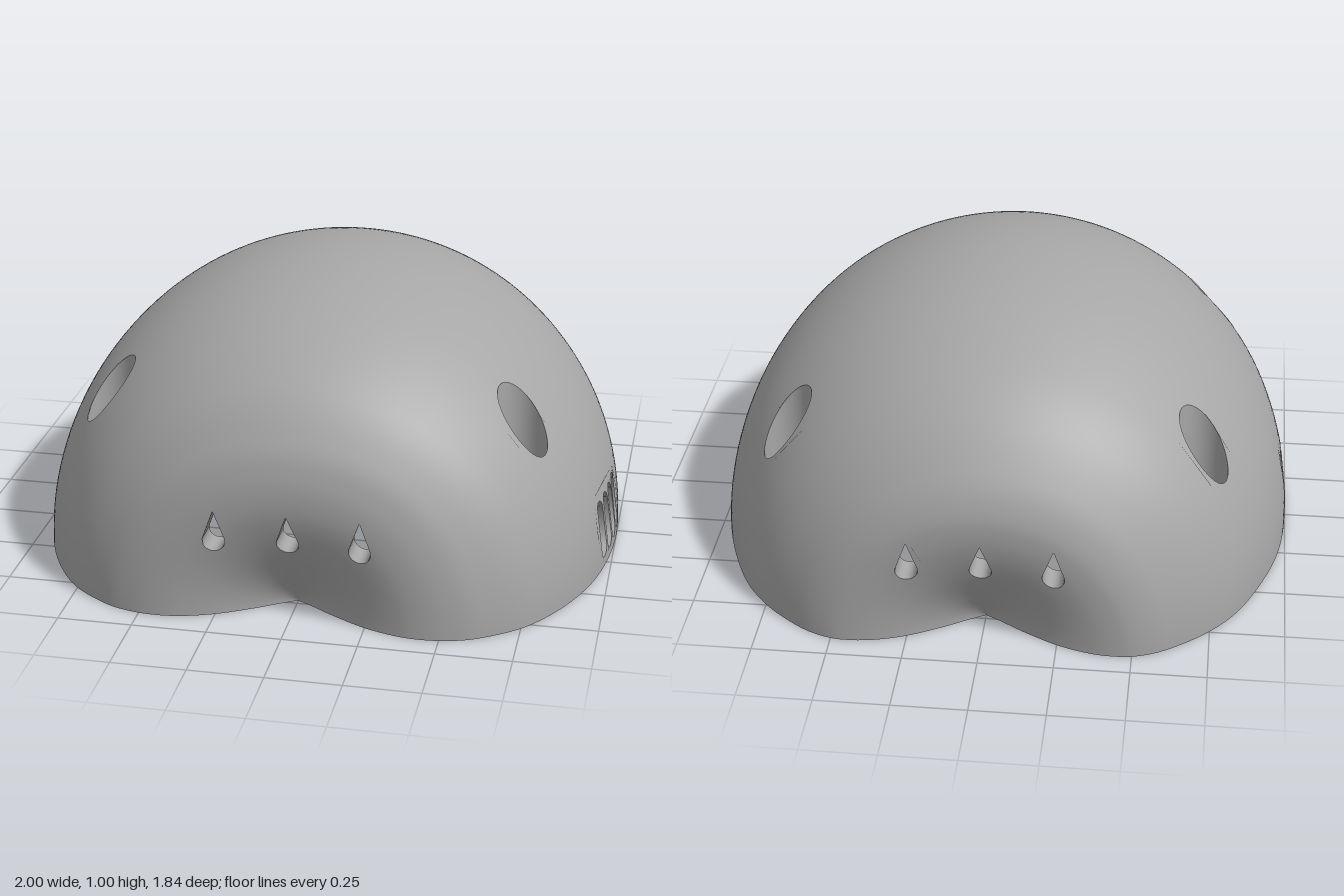
import * as THREE from 'three';

const NT = 90, NS = 110, M = 1100;      // grid around the axis, grid along the profile, table size
const WALL = 0.1, CEILING = 0.5, BORE_FLOOR = 0.3;
const V2 = (x, y) => new THREE.Vector2(x, y);
const V3 = (x, y, z) => new THREE.Vector3(x, y, z);

// Half-section (z, radius) from the front dimple over the dome to the back dimple
const SECTION = [[0.73, 0], [0.765, 0.06], [0.81, 0.13], [0.87, 0.24], [0.905, 0.34], [0.918, 0.43], [0.908, 0.53],
  [0.867, 0.635], [0.755, 0.775], [0.56, 0.895], [0.33, 0.97], [0.04, 1], [-0.27, 0.972], [-0.56, 0.873],
  [-0.73, 0.765], [-0.855, 0.625], [-0.908, 0.52], [-0.918, 0.43], [-0.905, 0.34], [-0.87, 0.24],
  [-0.81, 0.13], [-0.765, 0.06], [-0.73, 0]];

function makeProfiles() {
  const curve = new THREE.SplineCurve(SECTION.map(p => V2(...p)));
  curve.arcLengthDivisions = 1000;
  const pts = [V2(0.63, 0)];
  for (let k = 0; k <= 44; k++) {
    const p = curve.getPointAt(k / 44), t = curve.getTangentAt(k / 44);
    pts.push(V2(p.x - t.y * WALL, p.y + t.x * WALL));
  }
  pts.push(V2(-0.63, 0));
  const inner = new THREE.SplineCurve(pts);
  inner.arcLengthDivisions = 1000;
  return [curve.getSpacedPoints(M), inner.getSpacedPoints(M)];
}

// Collects triangles, turning each one to agree with its normals
class Mesher {
  pos = []; nor = [];
  tri(p, n) {
    const f = p[1].clone().sub(p[0]).cross(p[2].clone().sub(p[0]));
    if (f.lengthSq() < 1e-16) return;
    const order = f.dot(n[0].clone().add(n[1]).add(n[2])) < 0 ? [0, 2, 1] : [0, 1, 2];
    for (const k of order) { this.pos.push(...p[k].toArray()); this.nor.push(...n[k].toArray()); }
  }
  // Band between two loops, facing towards (sign 1) or away from (sign -1) its own axis
  band(a, b, sign) {
    const mid = loop => loop.reduce((s, p) => s.add(p), V3(0, 0, 0)).divideScalar(loop.length);
    const c = mid(a).add(mid(b)).multiplyScalar(0.5);
    const axis = mid(b).sub(mid(a)).normalize();
    const normal = p => {
      const d = c.clone().sub(p);
      return d.addScaledVector(axis, -d.dot(axis)).normalize().multiplyScalar(sign);
    };
    for (let k = 0; k < a.length; k++) {
      const l = (k + 1) % a.length, n = [a[k], a[l]].map(normal);
      this.tri([a[k], a[l], b[l]], [n[0], n[1], n[1]]);
      this.tri([a[k], b[l], b[k]], [n[0], n[1], n[0]]);
    }
  }
  mesh(name, material) {
    const g = new THREE.BufferGeometry();
    g.setAttribute('position', new THREE.Float32BufferAttribute(this.pos, 3));
    g.setAttribute('normal', new THREE.Float32BufferAttribute(this.nor, 3));
    const m = new THREE.Mesh(g, material);
    m.name = name;
    return m;
  }
}

// A profile revolved half a turn about z; i runs around, j along
class Surface {
  constructor(table, inside) { this.table = table; this.inside = inside; }
  sample(j) {
    const f = Math.min(Math.max(j / NS * M, 0), M), k = Math.min(Math.floor(f), M - 1);
    const a = this.table[k], b = this.table[k + 1];
    return { p: a.clone().lerp(b, f - k), t: b.clone().sub(a).normalize() };
  }
  at(i, j) {
    const { p, t } = this.sample(j);
    if (this.inside && p.y > CEILING) {           // keep a clean edge where wall meets ceiling
      const e = Math.asin(CEILING / p.y) / Math.PI * NT;
      for (const c of [e, NT - e]) if (Math.abs(i - c) < 0.5) { i = c; break; }
    }
    const th = i / NT * Math.PI, c = Math.cos(th), s = Math.sin(th), d = this.inside ? -1 : 1;
    const v = V3(p.y * c, p.y * s, p.x), n = V3(-t.x * c, -t.x * s, t.y).multiplyScalar(d);
    if (this.inside) v.y = Math.min(v.y, CEILING);
    return { v, n };
  }
  // Grid position of a point given in the flat plane the hole is cut from
  locate(dir, a, b) {
    const T = this.table, grid = (th, k) => V2(th / Math.PI * NT, k / M * NS);
    if (dir === 'front' || dir === 'back') {
      const r = Math.hypot(a, b);
      let k = 1;
      const R = q => T[dir === 'front' ? q : M - q].y;
      while (R(k) < r) k++;
      k -= (R(k) - r) / (R(k) - R(k - 1));
      return grid(Math.atan2(b, a), dir === 'front' ? k : M - k);
    }
    const z = dir === 'top' ? b : a;
    let k = 1;
    while (T[k].y < 0.5 || T[k].x > z) k++;
    k -= (T[k].x - z) / (T[k].x - T[k - 1].x);
    const r = this.sample(k / M * NS).p.y;
    if (dir === 'top') return grid(Math.acos(a / r), k);
    return grid(dir === 'left' ? Math.asin(b / r) : Math.PI - Math.asin(b / r), k);
  }
  // Fills the grid, swapping blocks of cells around holes for cut panels
  build(out, groups) {
    const used = new Set();
    const add = vs => {
      const flat = this.inside && vs.every(q => q.v.y > CEILING - 1e-4);
      out.tri(vs.map(q => q.v), vs.map(q => flat ? V3(0, -1, 0) : q.n));
    };
    for (const g of groups) {
      const holes = g.loops.map(l => l.map(([a, b]) => this.locate(g.dir, a, b)));
      const box = new THREE.Box2().setFromPoints(holes.flat());
      const i0 = Math.floor(box.min.x - 0.1), i1 = Math.ceil(box.max.x + 0.1);
      const j0 = Math.floor(box.min.y - 0.1), j1 = Math.ceil(box.max.y + 0.1);
      for (let i = i0; i < i1; i++) for (let j = j0; j < j1; j++) used.add(i * 1000 + j);
      const ring = [];
      for (let i = i0; i < i1; i++) ring.push(V2(i, j0));
      for (let j = j0; j < j1; j++) ring.push(V2(i1, j));
      for (let i = i1; i > i0; i--) ring.push(V2(i, j1));
      for (let j = j1; j > j0; j--) ring.push(V2(i0, j));
      const all = [...ring, ...holes.flat()].map(q => this.at(q.x, q.y));
      for (const f of THREE.ShapeUtils.triangulateShape(ring, holes)) add(f.map(k => all[k]));
    }
    for (let i = 0; i < NT; i++) for (let j = 0; j < NS; j++) {
      if (used.has(i * 1000 + j)) continue;
      const [a, b, c, d] = [[i, j], [i + 1, j], [i + 1, j + 1], [i, j + 1]].map(q => this.at(...q));
      add([a, b, c]);
      add([a, c, d]);
    }
  }
  loop3(dir, l) {
    return l.map(([a, b]) => { const q = this.locate(dir, a, b); return this.at(q.x, q.y).v; });
  }
}

// Hole outlines
const arc = (cx, cy, r, from, to, n) => Array.from({ length: n + 1 }, (_, k) => {
  const a = THREE.MathUtils.degToRad(from + (to - from) * k / n);
  return [cx + r * Math.cos(a), cy + r * Math.sin(a)];
});
const circle = (x, z, r) => arc(x, z, r, 0, 350, 35);
const tear = x => [[x, 0.395], ...arc(x, 0.287, 0.037, 159, 381, 18)];
const slot = z => [...arc(z, 0.21, 0.03, 0, 180, 10), ...arc(z, 0.065, 0.03, 180, 360, 10)];

export function createModel() {
  const group = new THREE.Group();
  const grey = new THREE.MeshStandardMaterial({ color: 0xa6a6a6 });
  grey.name = 'grey';
  const [outT, inT] = makeProfiles();
  const outer = new Surface(outT, false), inner = new Surface(inT, true);
  const vents = [];
  for (const dir of ['front', 'back']) for (const x of [-0.24, 0, 0.24]) vents.push({ dir, loops: [tear(x)] });
  for (const dir of ['left', 'right']) vents.push({ dir, loops: [0.04, 0.12, 0.2, 0.28].map(slot) });
  const posts = [[0.7, 0.465], [-0.7, 0.465], [0.7, -0.475], [-0.7, -0.475]];
  const bores = posts.map(([x, z]) => ({ dir: 'top', loops: [circle(x, z, 0.085)] }));

  // Outer dome and inner cavity
  const dome = new Mesher(), cavity = new Mesher(), edges = new Mesher();
  outer.build(dome, [...vents, ...bores]);
  inner.build(cavity, vents);
  for (const g of vents) for (const l of g.loops) edges.band(outer.loop3(g.dir, l), inner.loop3(g.dir, l), 1);
  group.add(dome.mesh('dome', grey), cavity.mesh('cavity', grey), edges.mesh('ventEdges', grey));

  // Flat rim underneath
  const outline = T => {
    const side = T.filter((_, k) => k % 5 === 0);
    return [...side.map(p => V2(p.y, p.x)), ...side.slice(1, -1).reverse().map(p => V2(-p.y, p.x))];
  };
  const rimShape = new THREE.Shape(outline(outT));
  rimShape.holes.push(new THREE.Path(outline(inT)));
  const rim = new THREE.Mesh(new THREE.ShapeGeometry(rimShape).rotateX(Math.PI / 2), grey);
  rim.name = 'rim';
  group.add(rim);

  // Screw posts with counterbored holes
  for (const [x, z] of posts) {
    const post = new Mesher();
    const level = (r, y) => circle(x, z, r).map(([a, b]) => V3(a, y, b));
    const top = level(0.125, CEILING).map(p => {
      const q = outer.locate('top', p.x, p.z), v = outer.at(q.x, q.y).v;
      return V3(p.x, Math.min(CEILING, v.y - 0.04), p.z);
    });
    post.band(level(0.125, 0), top, -1);
    post.band(outer.loop3('top', circle(x, z, 0.085)), level(0.085, BORE_FLOOR), 1);
    post.band(level(0.045, 0), level(0.045, BORE_FLOOR), 1);
    group.add(post.mesh('screwPost', grey));
    for (const [name, r, y, turn] of [['boreFloor', 0.085, BORE_FLOOR, -1], ['postFoot', 0.125, 0, 1]]) {
      const ring = new THREE.Mesh(new THREE.RingGeometry(0.045, r, 36).rotateX(turn * Math.PI / 2), grey);
      ring.position.set(x, y, z);
      ring.name = name;
      group.add(ring);
    }
  }
  return group;
}
